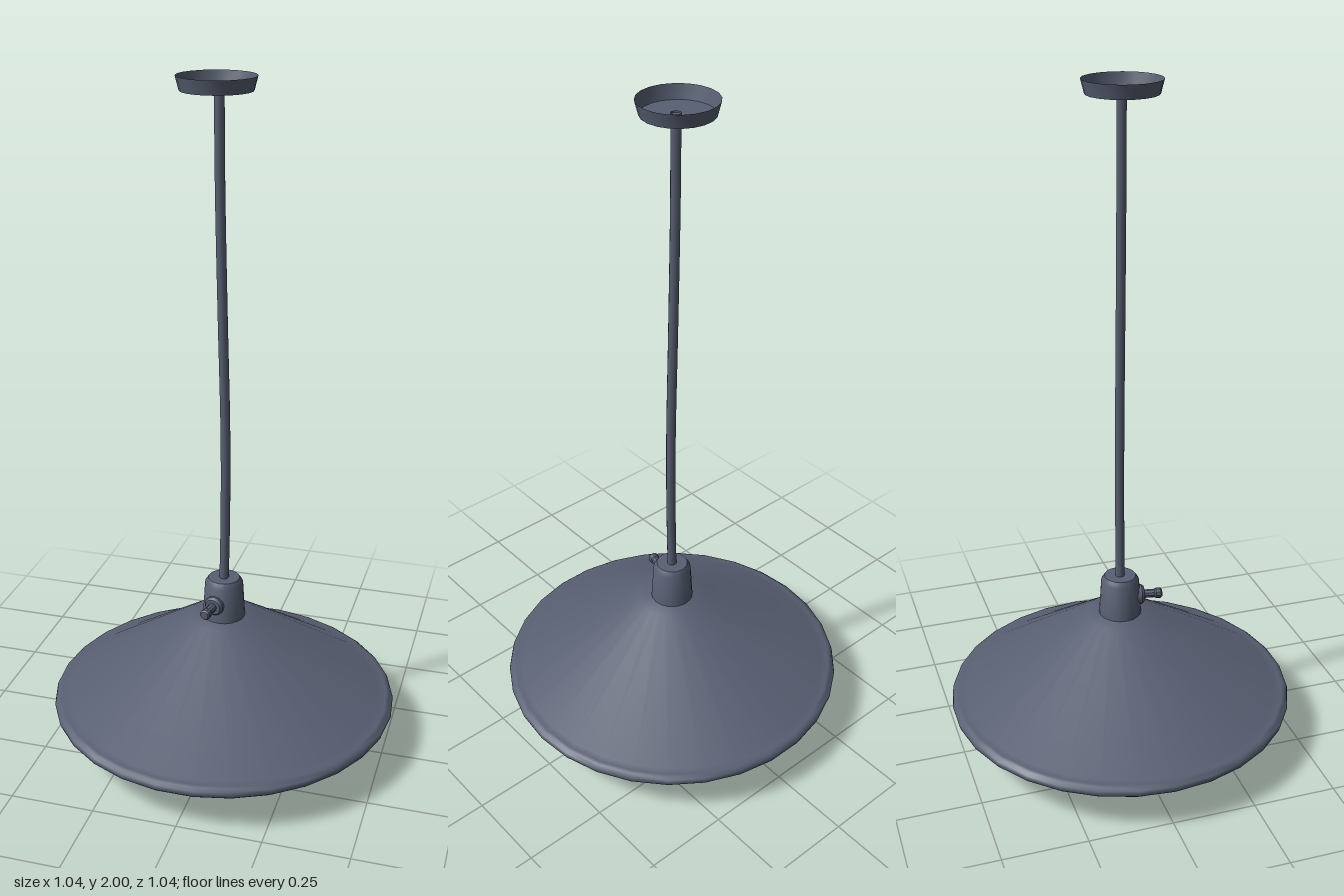
import * as THREE from 'three';
import { toCreasedNormals } from 'three/addons/utils/BufferGeometryUtils.js';

const metal = new THREE.MeshStandardMaterial({ color: 0x585f72, side: THREE.DoubleSide });

export function createModel() {
  const lamp = new THREE.Group();
  lamp.name = 'pendantLamp';

  function add(name, geometry, parent = lamp) {
    const mesh = new THREE.Mesh(geometry, metal);
    mesh.name = name;
    parent.add(mesh);
    return mesh;
  }

  // Turned part from [radius, height] pairs, listed bottom to top on the outside
  function turned(name, profile, segments, crease = 0.6, parent = lamp) {
    const points = profile.map(([r, y]) => new THREE.Vector2(r, y));
    const lathe = new THREE.LatheGeometry(points, segments, Math.PI / 2);
    return add(name, toCreasedNormals(lathe, crease), parent);
  }

  // Thin open ceiling cup, slightly off the lamp's axis
  const canopy = turned('ceilingCanopy', [[0, 1.961], [0.099, 1.961], [0.109, 2]], 20);
  canopy.position.x = -0.02;

  // Gently bowed cord, its end just showing inside the cup
  const cordPath = new THREE.CatmullRomCurve3([
    [-0.013, 1.966], [-0.011, 1.7], [-0.004, 1.35], [0.004, 1.0], [0.004, 0.75], [0, 0.52],
  ].map(([x, y]) => new THREE.Vector3(x, y, 0)));
  add('cord', new THREE.TubeGeometry(cordPath, 20, 0.014, 10));

  // Socket housing above the shade
  turned('socketHousing', [
    [0, 0.405], [0.064, 0.405], [0.057, 0.52], [0.047, 0.535], [0, 0.535],
  ], 20);

  // Switch on the front of the housing, leaning a little to the right
  const knob = new THREE.Group();
  knob.name = 'switch';
  knob.position.set(-0.011, 0.466, 0.045);
  knob.rotation.set(Math.PI / 2, 0, 0.18);
  lamp.add(knob);
  turned('switchCollar', [[0.03, 0], [0.03, 0.018], [0.024, 0.026], [0, 0.026]], 12, 0.6, knob);
  turned('switchStem', [
    [0.013, 0.02], [0.013, 0.058], [0.016, 0.062], [0.016, 0.076], [0.012, 0.081], [0, 0.081],
  ], 10, 0.6, knob);

  // Conical shade running smoothly into its rolled rim, flat on top
  const shade = [];
  for (let i = 0; i <= 9; i++) {
    const a = Math.PI * (-1 + i / 6);
    shade.push([0.501 + 0.021 * Math.cos(a), 0.134 + 0.018 * Math.sin(a)]);
  }
  shade.push([0.478, 0.153], [0.102, 0.41], [0, 0.41]);
  turned('shade', shade, 30, 1.1);
  turned('shadeLining', [[0, 0.403], [0.1, 0.403], [0.48, 0.136]], 30);

  // Bulb holder under the shade top
  turned('bulbHolder', [
    [0, 0.258], [0.07, 0.258], [0.07, 0.325], [0.06, 0.335], [0.06, 0.405],
  ], 18);

  // Light bulb
  turned('bulb', [
    [0, 0], [0.035, 0.011], [0.073, 0.032], [0.115, 0.098], [0.115, 0.145],
    [0.085, 0.19], [0.057, 0.225], [0.054, 0.265],
  ], 14, 1);

  return lamp;
}
